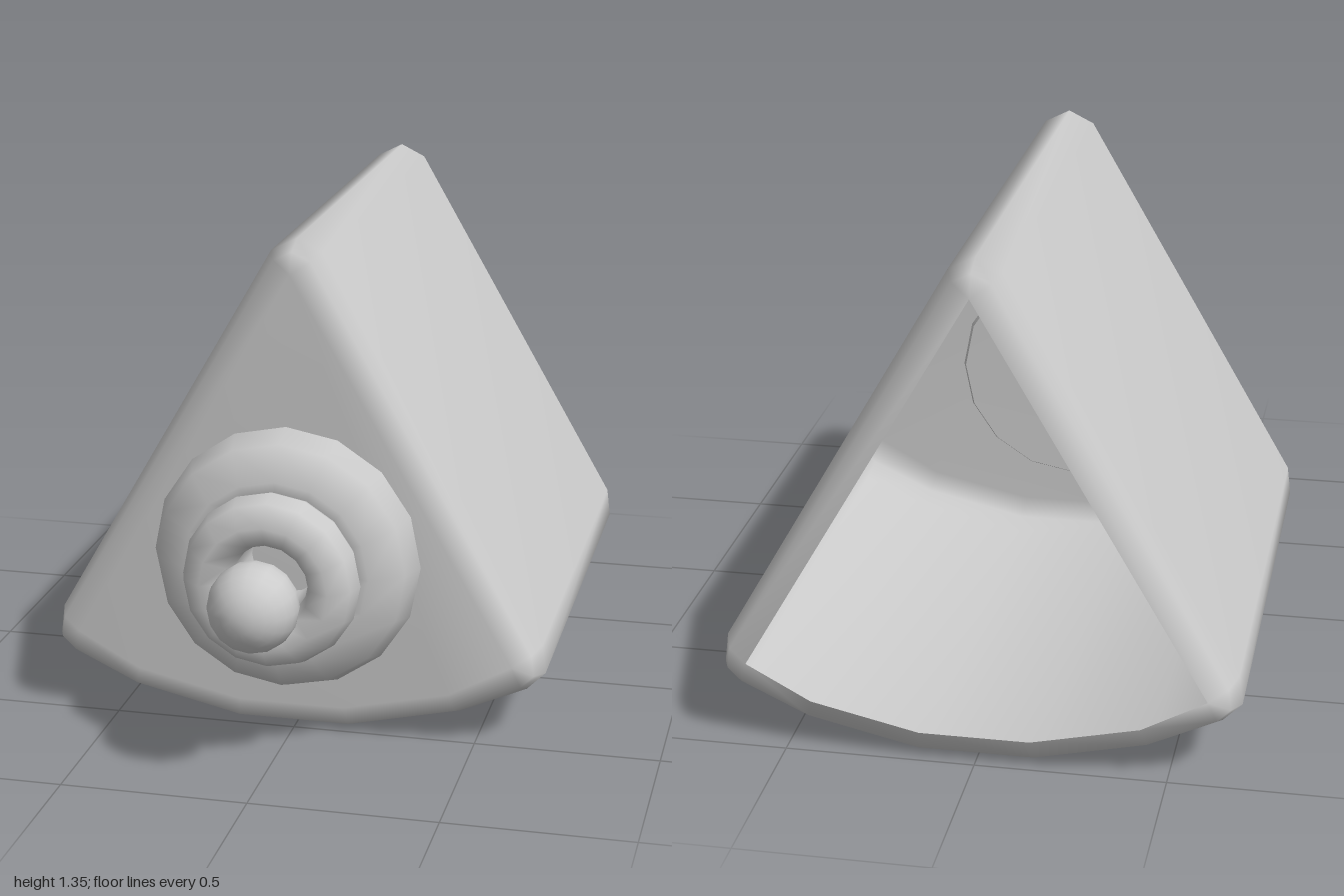
import * as THREE from 'three';
import { mergeVertices } from 'three/addons/utils/BufferGeometryUtils.js';

const grey = new THREE.MeshStandardMaterial({ color: 0xcccccc, side: THREE.DoubleSide });

// Right half of the wedge section: core point x, y, then fully rounded-out point x, y
const half = [
  [0, 1.275, 0.07, 1.32],
  [0.6, 0.24, 0.67, 0.28],
  [0.6, 0.24, 0.68, 0.2],
  [0.6, 0.24, 0.63, 0.15],
  [0.43, 0.147, 0.45, 0.07],
  [0.145, 0.083, 0.155, 0.003],
];
const mirrored = half.map(([a, b, c, d]) => [-a, b, -c, d]).reverse();
const section = [[0, 1.275, 0, 1.355], ...half, ...mirrored];

// Hollow wedge with rounded edges, closed at the front and open at the back
function wedgeGeometry() {
  const front = 0.525, back = -1, r = 0.085, n = section.length;
  const rings = [];
  for (let k = 0; k <= 2; k++) {
    const a = (k * Math.PI) / 4;
    rings.push([front - r * (1 - Math.cos(a)), Math.sin(a)]);
  }
  for (let k = 2; k >= 0; k--) {
    const a = (k * Math.PI) / 4;
    rings.push([back + r * (1 - Math.cos(a)), Math.sin(a)]);
  }
  const pos = [], index = [];
  for (const [z, f] of rings) {
    for (const [cx, cy, ox, oy] of section) pos.push(cx + (ox - cx) * f, cy + (oy - cy) * f, z);
  }
  for (let i = 0; i < rings.length - 1; i++) {
    for (let j = 0; j < n; j++) {
      const a = i * n + j, b = i * n + ((j + 1) % n);
      index.push(a, b, a + n, b, b + n, a + n);
    }
  }
  // Front panel
  for (let j = 1; j < n - 1; j++) index.push(0, j + 1, j);

  const geo = new THREE.BufferGeometry();
  geo.setAttribute('position', new THREE.Float32BufferAttribute(pos, 3));
  geo.setIndex(index);
  const merged = mergeVertices(geo, 1e-4);
  merged.computeVertexNormals();
  return merged;
}

// Ring turned around the z axis from [radius, z] points
function turned(points) {
  const geo = new THREE.LatheGeometry(points.map(([x, y]) => new THREE.Vector2(x, y)), 16);
  return geo.rotateX(Math.PI / 2);
}

export function createModel() {
  const group = new THREE.Group();
  const add = (name, geometry, x = 0, y = 0, z = 0) => {
    const mesh = new THREE.Mesh(geometry, grey);
    mesh.name = name;
    mesh.position.set(x, y, z);
    group.add(mesh);
  };

  add('wedgeBody', wedgeGeometry());

  // Stepped, rounded boss on the front panel
  add('largeRing', turned([
    [0.33, 0.51], [0.362, 0.57], [0.335, 0.64], [0.25, 0.7], [0.18, 0.675], [0.15, 0.6],
  ]), 0, 0.518);
  add('smallRing', turned([
    [0.19, 0.66], [0.225, 0.7], [0.237, 0.735], [0.222, 0.785], [0.17, 0.83], [0.115, 0.8], [0.1, 0.74], [0.1, 0.55],
  ]), 0, 0.516);
  add('knob', new THREE.SphereGeometry(0.119, 16, 12).rotateX(Math.PI / 2), -0.01, 0.493, 0.881);

  return group;
}
